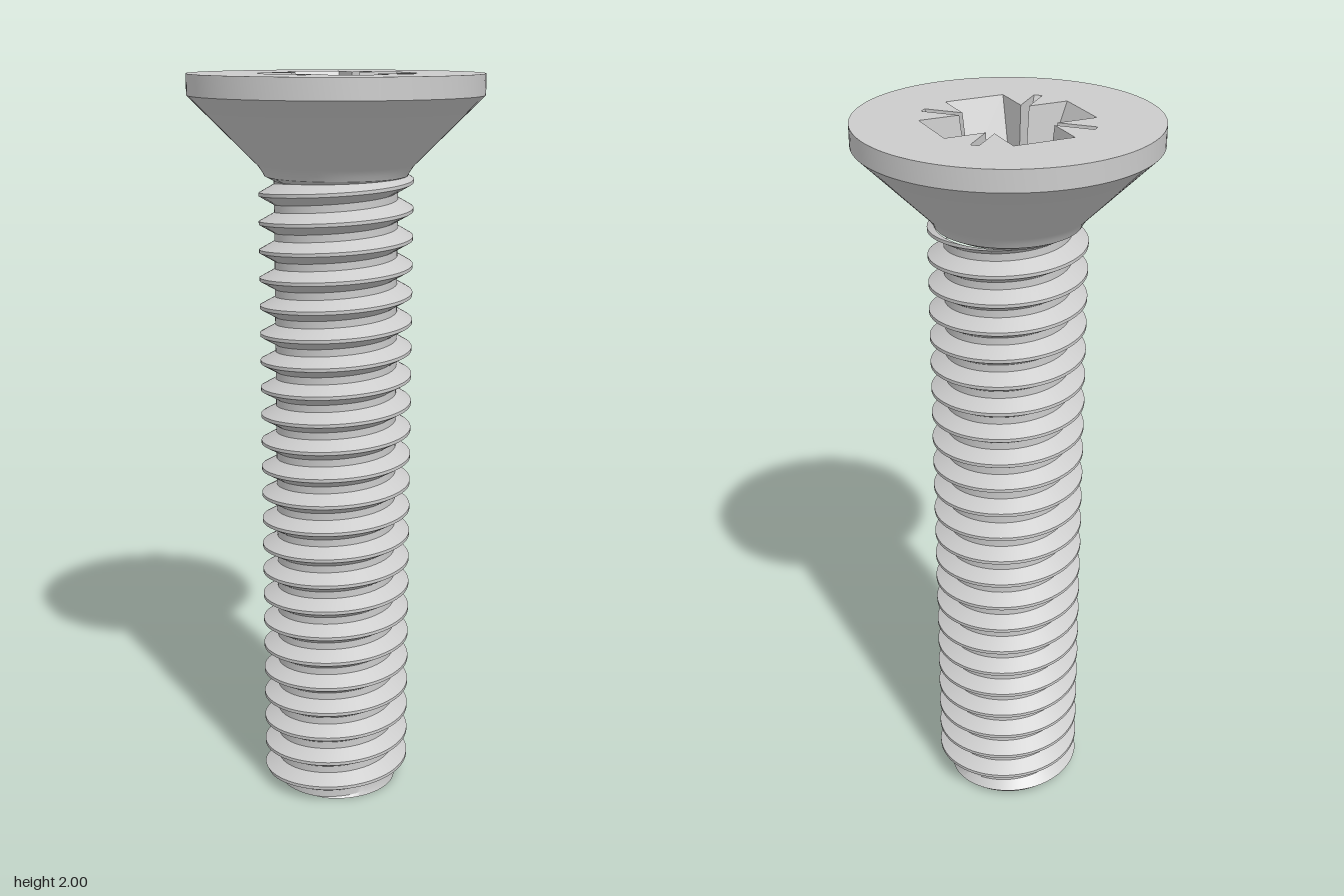
import * as THREE from 'three';
import { toCreasedNormals } from 'three/addons/utils/BufferGeometryUtils.js';

const TOP = 2, FLOOR = 1.81;
const PITCH = 0.0752, CREST_Y = 0.037, ROOT = 0.165, CREST = 0.206;
const THREAD_TOP = 1.74, COLUMNS = 72;
// one turn of the thread profile: [fraction of the pitch, radius], crest centred on 0
const PROFILE = [[-0.06, CREST], [0.06, CREST], [0.37, ROOT], [0.63, ROOT]];

const material = new THREE.MeshStandardMaterial({ color: 0xcccccc });

function mesh(name, geometry) {
  const m = new THREE.Mesh(geometry, material);
  m.name = name;
  return m;
}

function fromTriangles(positions) {
  const g = new THREE.BufferGeometry();
  g.setAttribute('position', new THREE.Float32BufferAttribute(positions, 3));
  return g;
}

function lathe(points) {
  const pts = points.map(([r, y]) => new THREE.Vector2(r, y));
  return toCreasedNormals(new THREE.LatheGeometry(pts, 96), 0.4);
}

// Height of the crest at an angle (right-handed helix)
const crestHeight = (angle) => CREST_Y + PITCH * (angle - Math.PI) / (2 * Math.PI);

// Thread radius at any angle and height, chamfered at the tip
function threadRadius(angle, y) {
  let f = (y - crestHeight(angle)) / PITCH;
  f = Math.abs(f - Math.round(f));
  const k = THREE.MathUtils.clamp((f - 0.06) / 0.31, 0, 1);
  return Math.min(THREE.MathUtils.lerp(CREST, ROOT, k), 0.17 + y);
}

// Helical surface made of one column of profile points per angle, with a flat tip
function threadGeometry() {
  const columns = [];
  const turns = Math.ceil(THREAD_TOP / PITCH) + 2;
  for (let i = 0; i <= COLUMNS; i++) {
    const angle = (i / COLUMNS) * Math.PI * 2;
    const column = [];
    for (let turn = -2; turn < turns; turn++) {
      for (const [f] of PROFILE) {
        const y = THREE.MathUtils.clamp(crestHeight(angle) + (turn + f) * PITCH, 0, THREAD_TOP);
        const r = threadRadius(angle, y);
        column.push([r * Math.cos(angle), y, -r * Math.sin(angle)]);
      }
    }
    columns.push(column);
  }
  const out = [];
  const outside = (...pts) => pts.every((p) => p[1] <= 0) || pts.every((p) => p[1] >= THREAD_TOP);
  const tri = (a, b, c) => { if (!outside(a, b, c)) out.push(...a, ...b, ...c); };
  for (let i = 0; i < COLUMNS; i++) {
    const left = columns[i], right = columns[i + 1];
    for (let j = 0; j < left.length - 1; j++) {
      tri(left[j], right[j], right[j + 1]);
      tri(left[j], right[j + 1], left[j + 1]);
    }
    out.push(0, 0, 0, ...right[0], ...left[0]);
  }
  return toCreasedNormals(fromTriangles(out), 0.5);
}

// Cross outline with a narrow diagonal slit in each corner, counter-clockwise from above
function crossOutline(arm, half, slitEnd, slitHalf) {
  const s = slitHalf * Math.SQRT2, d = Math.SQRT1_2;
  const quarter = [
    [arm, -half], [arm, half], [half + s, half],
    [(slitEnd + slitHalf) * d, (slitEnd - slitHalf) * d],
    [(slitEnd - slitHalf) * d, (slitEnd + slitHalf) * d],
    [half, half + s],
  ];
  const points = [];
  for (let q = 0; q < 4; q++) {
    for (const [x, y] of quarter) {
      points.push(new THREE.Vector2(x, y).rotateAround(new THREE.Vector2(), q * Math.PI / 2));
    }
  }
  return points;
}

// Flat horizontal face from a shape
function flatFace(shape, y) {
  return new THREE.ShapeGeometry(shape, 48).rotateX(-Math.PI / 2).translate(0, y, 0);
}

// Tapered walls joining two outlines, facing inwards
function recessWalls(upper, lower) {
  const out = [];
  const at = (p, y) => [p.x, y, -p.y];
  upper.forEach((p, i) => {
    const n = (i + 1) % upper.length;
    const a = at(p, TOP), b = at(upper[n], TOP);
    const c = at(lower[n], FLOOR), d = at(lower[i], FLOOR);
    out.push(...a, ...b, ...c, ...a, ...c, ...d);
  });
  const g = fromTriangles(out);
  g.computeVertexNormals();
  return g;
}

export function createModel() {
  const group = new THREE.Group();
  group.name = 'countersunkScrew';

  // Neck, countersunk cone and rim
  group.add(mesh('head', lathe([
    [0.16, 1.722], [0.19, 1.737], [0.197, 1.75], [0.208, 1.765], [0.39, 1.945], [0.39, TOP],
  ])));

  // Head top with the driver opening
  const upper = crossOutline(0.203, 0.08, 0.226, 0.011);
  const lower = crossOutline(0.125, 0.066, 0.135, 0.008);
  const disc = new THREE.Shape().absarc(0, 0, 0.39, 0, Math.PI * 2);
  disc.holes.push(new THREE.Path(upper));
  group.add(mesh('headTop', flatFace(disc, TOP)));

  // Driver recess: walls, floor and conical bottom
  group.add(mesh('recessWalls', recessWalls(upper, lower)));
  const floor = new THREE.Shape(lower);
  floor.holes.push(new THREE.Path().absarc(0, 0, 0.098, 0, Math.PI * 2));
  group.add(mesh('recessFloor', flatFace(floor, FLOOR)));
  group.add(mesh('recessCone', lathe([[0.098, FLOOR], [0, FLOOR - 0.04]])));

  // Threaded shank
  group.add(mesh('threadedShank', threadGeometry()));

  return group;
}
